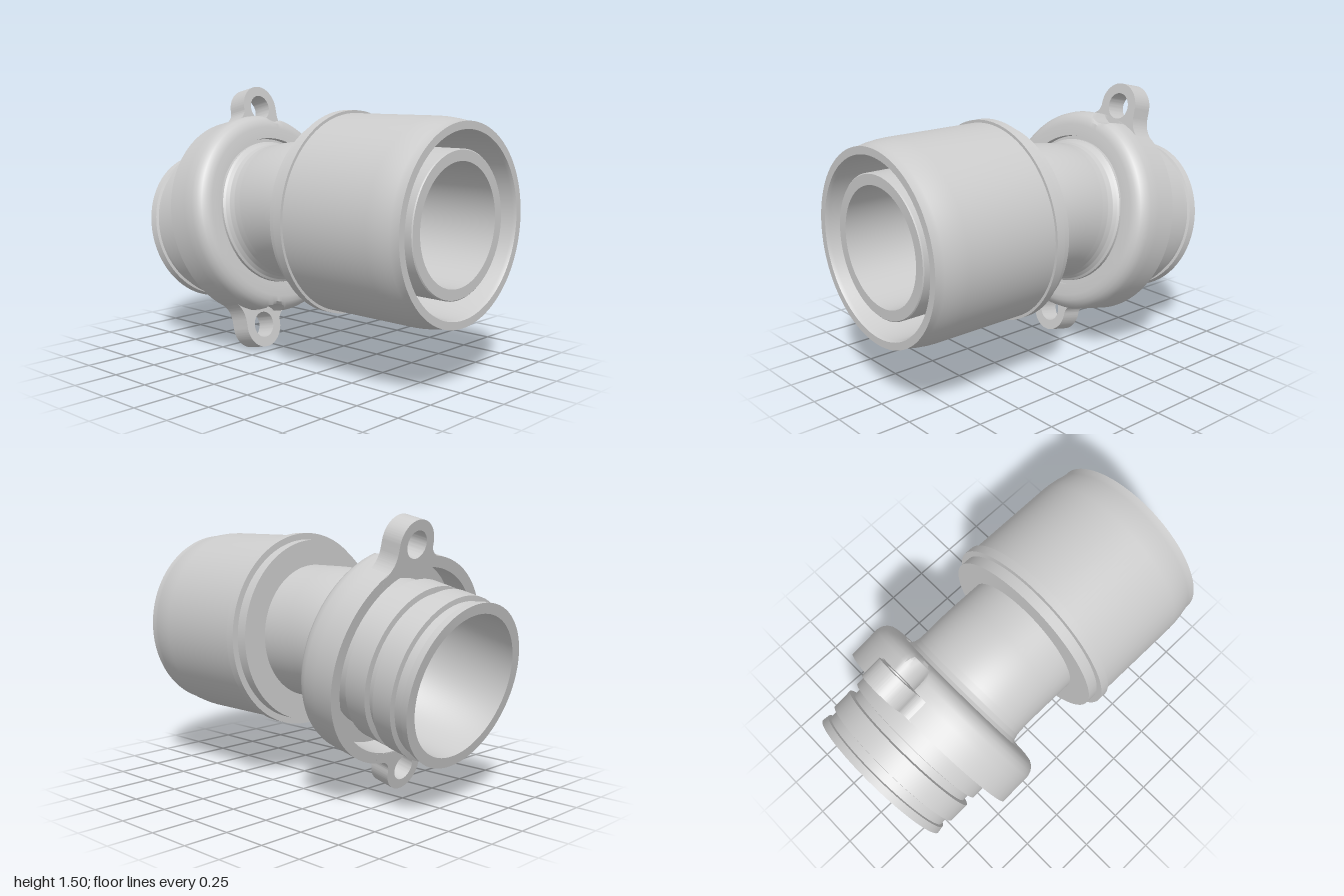
import * as THREE from 'three';
import { toCreasedNormals } from 'three/addons/utils/BufferGeometryUtils.js';
import { ParametricGeometry } from 'three/addons/geometries/ParametricGeometry.js';

const TILT = THREE.MathUtils.degToRad(13); // angle of the flanged end
const BEND = new THREE.Vector2(-0.1, 0.85); // where the two axes cross
const TAB = { x: 0.63, z: -0.125, r: 0.127 }; // bolt ear centre and radius

const grey = new THREE.MeshStandardMaterial({ color: 0xcccccc });
const greyDouble = new THREE.MeshStandardMaterial({ color: 0xcccccc, side: THREE.DoubleSide });

function addMesh(parent, name, geometry, material = grey) {
  const mesh = new THREE.Mesh(geometry, material);
  mesh.name = name;
  parent.add(mesh);
  return mesh;
}

// Lathe from [radius, height] pairs
function turned(profile, segments = 128) {
  return new THREE.LatheGeometry(profile.map(([r, h]) => new THREE.Vector2(r, h)), segments);
}

// Swept pipe along the bent axis; rows are [distance from the bend, radius]
function bentPipe(rows) {
  const reach = 0.1;
  return new ParametricGeometry((u, v, target) => {
    const f = Math.min(u * (rows.length - 1), rows.length - 1.000001);
    const i = Math.floor(f);
    const s = THREE.MathUtils.lerp(rows[i][0], rows[i + 1][0], f - i);
    const r = THREE.MathUtils.lerp(rows[i][1], rows[i + 1][1], f - i);
    const k = THREE.MathUtils.clamp((reach - s) / (2 * reach), 0, 1);
    const a = TILT * k;
    // quadratic blend between the two straight axes
    const right = s > reach ? s : reach * (1 - k) * (1 - k);
    const left = s < -reach ? -s : reach * k * k;
    const cx = BEND.x + (s > -reach ? right : 0) - (s < reach ? left * Math.cos(TILT) : 0);
    const cy = BEND.y - (s < reach ? left * Math.sin(TILT) : 0);
    const w = v * Math.PI * 2;
    const out = r * Math.cos(w);
    target.set(cx - out * Math.sin(a), cy + out * Math.cos(a), r * Math.sin(w));
  }, (rows.length - 1) * 6, 96);
}

// Bolt ear with fillets running into the flange
function earGeometry() {
  const cy = -TAB.z;
  const s = new THREE.Shape();
  s.moveTo(0.5, -0.13);
  s.lineTo(0.555, -0.11);
  s.quadraticCurveTo(0.565, cy - TAB.r, TAB.x, cy - TAB.r);
  s.absarc(TAB.x, cy, TAB.r, -Math.PI / 2, Math.PI / 2, false);
  s.lineTo(0.59, cy + TAB.r);
  s.quadraticCurveTo(0.51, cy + TAB.r, 0.465, 0.325);
  s.lineTo(0.42, 0.32);
  s.quadraticCurveTo(0.55, 0.12, 0.5, -0.13);
  const hole = new THREE.Path();
  hole.absarc(TAB.x, cy, 0.072, 0, Math.PI * 2, true);
  s.holes.push(hole);
  const g = new THREE.ExtrudeGeometry(s, { depth: 0.12, bevelEnabled: false, curveSegments: 32 });
  g.rotateX(-Math.PI / 2);
  g.translate(0, 0.331, 0);
  return toCreasedNormals(g, 0.6);
}

// Flange cup and grooved spigot in one turned piece
function flangeGeometry() {
  const g = turned([
    [0.315, 0.2], [0.405, 0.2], [0.405, 0.22], [0.425, 0.22], [0.425, 0.19],
    [0.49, 0.19], [0.52, 0.196], [0.545, 0.212], [0.562, 0.235], [0.57, 0.265],
    [0.57, 0.33], [0.57, 0.331], [0.57, 0.45], [0.51, 0.45], [0.51, 0.3],
    [0.41, 0.3], [0.41, 0.42], [0.44, 0.42], [0.44, 0.55], [0.41, 0.555],
    [0.41, 0.6], [0.442, 0.605], [0.442, 0.72], [0.415, 0.725], [0.415, 0.775],
    [0.43, 0.78], [0.436, 0.82], [0.38, 0.82], [0.38, 0.3], [0.315, 0.2],
  ], 180);
  // bolt clearance scallops behind each ear
  const p = g.attributes.position;
  for (let i = 0; i < p.count; i++) {
    if (p.getY(i) > 0.3305) continue;
    for (const side of [1, -1]) {
      const dx = p.getX(i) - side * TAB.x;
      const dz = p.getZ(i) - side * TAB.z;
      const d = Math.hypot(dx, dz);
      if (d < 0.11) {
        p.setX(i, side * TAB.x + (dx / d) * 0.11);
        p.setZ(i, side * TAB.z + (dz / d) * 0.11);
      }
    }
  }
  return toCreasedNormals(g, 0.6);
}

export function createModel() {
  const model = new THREE.Group();
  model.name = 'pipeConnector';

  // Double-walled collar on the straight end
  const collar = addMesh(model, 'collar', toCreasedNormals(turned([
    [0.315, 0.17], [0.51, 0.17], [0.51, 0.23], [0.545, 0.23], [0.545, 0.28],
    [0.53, 0.28], [0.53, 0.82], [0.528, 0.86], [0.522, 0.91], [0.514, 0.95],
    [0.51, 0.97], [0.51, 1], [0.47, 1], [0.462, 0.98], [0.462, 0.5],
    [0.375, 0.5], [0.375, 0.965], [0.37, 0.97], [0.315, 0.97], [0.315, 0.17],
  ]), 0.6));
  collar.rotation.z = -Math.PI / 2;
  collar.position.y = BEND.y;

  // Bent neck and its bore
  addMesh(model, 'neck', bentPipe([
    [0.28, 0.37], [0.1, 0.37], [0, 0.37], [-0.1, 0.37], [-0.14, 0.372],
    [-0.17, 0.38], [-0.19, 0.393], [-0.2, 0.405],
  ]), greyDouble);
  addMesh(model, 'neckBore', bentPipe([
    [0.28, 0.315], [0.1, 0.315], [-0.1, 0.315], [-0.2, 0.315],
  ]), greyDouble);

  // Tilted end: local y runs out along its axis, local x points up
  const end = new THREE.Group();
  end.name = 'flangedEnd';
  end.position.set(BEND.x, BEND.y, 0);
  end.rotation.z = Math.PI / 2 + TILT;
  model.add(end);
  addMesh(end, 'flangeAndSpigot', flangeGeometry());
  const ear = earGeometry();
  addMesh(end, 'upperEar', ear);
  addMesh(end, 'lowerEar', ear).rotation.y = Math.PI;

  return model;
}
